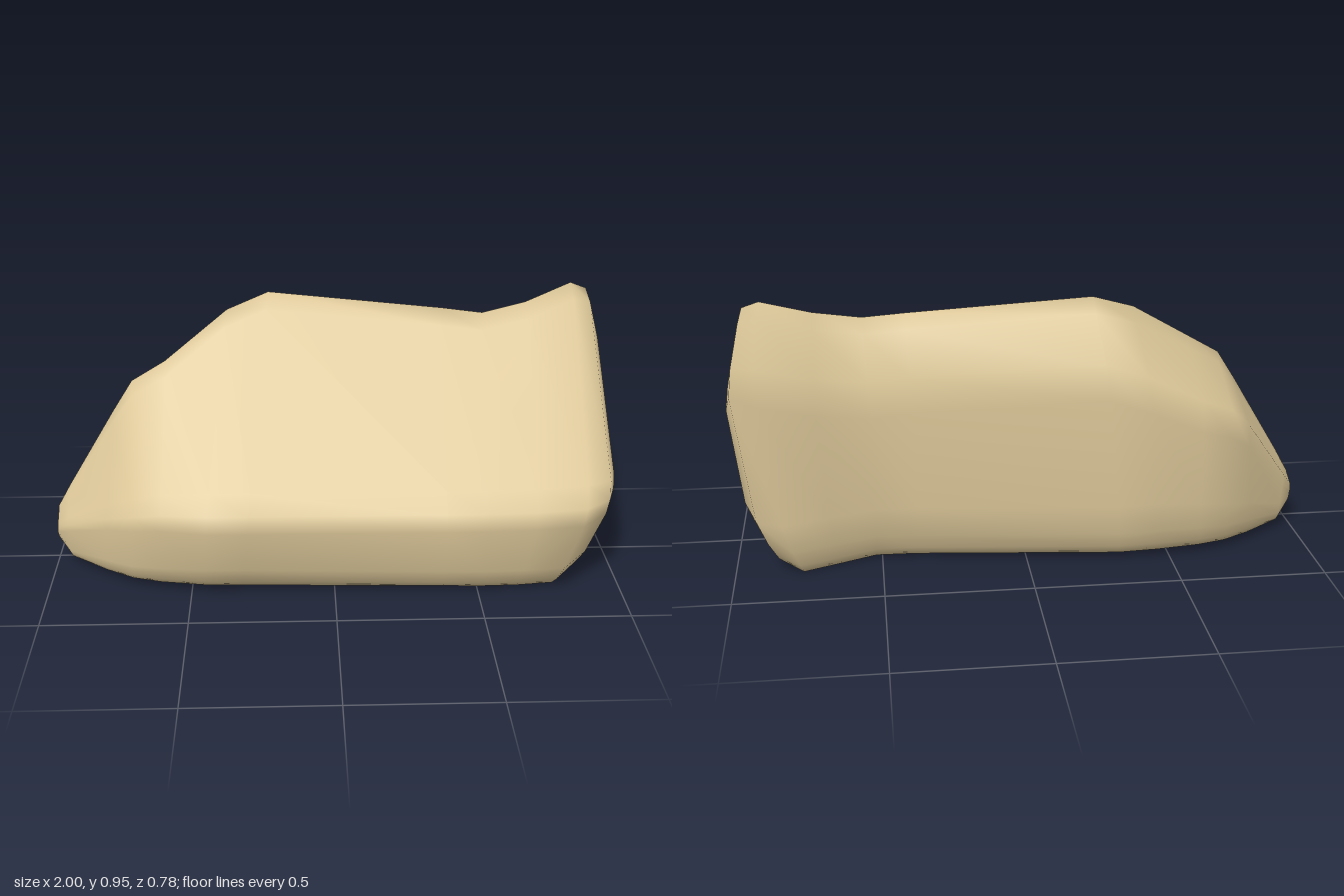
import * as THREE from 'three';

// Stations along the boulder, left end to right end:
// x at bottom / middle / top, bottom y, front z, front shoulder y,
// ridge y, ridge z, back z, drop from ridge to back shoulder, bevel scale
const STATIONS = [
  [-0.99, -1.0, -1.0, 0.09, 0.045, 0.12, 0.19, -0.03, -0.09, 0.03, 0.2],
  [-0.94, -0.955, -0.955, 0.032, 0.10, 0.15, 0.27, -0.03, -0.14, 0.05, 0.35],
  [-0.81, -0.78, -0.78, 0.03, 0.235, 0.22, 0.555, -0.04, -0.26, 0.1, 0.65],
  [-0.71, -0.70, -0.73, 0.028, 0.31, 0.25, 0.665, -0.05, -0.325, 0.13, 0.8],
  [-0.61, -0.59, -0.59, 0.027, 0.35, 0.27, 0.735, -0.06, -0.36, 0.15, 0.9],
  [-0.46, -0.42, -0.36, 0.025, 0.383, 0.27, 0.88, -0.19, -0.385, 0.2, 1],
  [-0.32, -0.28, -0.22, 0.022, 0.384, 0.27, 0.93, -0.235, -0.388, 0.2, 1],
  [0.38, 0.38, 0.40, 0.01, 0.39, 0.27, 0.88, -0.185, -0.29, 0.2, 1],
  [0.52, 0.52, 0.55, 0.007, 0.39, 0.27, 0.865, -0.17, -0.28, 0.2, 1],
  [0.64, 0.70, 0.70, 0.004, 0.382, 0.27, 0.895, -0.2, -0.325, 0.2, 1],
  [0.77, 0.88, 0.87, 0, 0.36, 0.27, 0.95, -0.25, -0.37, 0.2, 1],
  [0.83, 0.975, 0.92, 0.045, 0.28, 0.28, 0.93, -0.245, -0.335, 0.18, 0.8],
  [0.84, 0.998, 0.89, 0.13, 0.2, 0.3, 0.8, -0.18, -0.26, 0.14, 0.6],
];

// One closed cross-section: up the front, over the ridge, down the back
function section([xb, xm, xt, yb, zf, yf, yt, zt, zb, drop, s]) {
  const outline = [
    [yb, zf - 0.1 * s], [yb + 0.03 * s, zf - 0.07 * s], [yb + 0.09 * s, zf - 0.04 * s],
    [yf, zf], [yf + 0.06 * s, zf - 0.01 * s], [yf + 0.12 * s, zf - 0.07 * s],
    [yt - 0.05 * s, zt + 0.05 * s], [yt, zt], [yt - 0.25 * drop, zt - 0.04 * s],
    [yt - drop, zb + 0.015 * s], [yt - drop - 0.12 * s, zb], [yb + 0.2 * s, zb + 0.02 * s],
    [yb + 0.09 * s, zb + 0.04 * s], [yb + 0.03 * s, zb + 0.07 * s], [yb, zb + 0.085 * s],
  ];
  return outline.map(([y, z]) => {
    const t = Math.min(Math.max(y / 0.95, 0), 1);
    // Parabola through the bottom, middle and top x values
    const x = xb * (1 - t) * (1 - 2 * t) + xm * 4 * t * (1 - t) + xt * t * (2 * t - 1);
    return [x, y, z];
  });
}

// Skin the sections and close both ends
function loft(rings, startCentre, endCentre) {
  const n = rings[0].length;
  const last = (rings.length - 1) * n;
  const start = rings.length * n;
  const index = [];
  for (let i = 0; i < rings.length - 1; i++) {
    for (let j = 0; j < n; j++) {
      const k = (j + 1) % n;
      const a = i * n + j, b = i * n + k, c = a + n, d = b + n;
      index.push(a, c, b, b, c, d);
    }
  }
  for (let j = 0; j < n; j++) {
    const k = (j + 1) % n;
    index.push(start, j, k, start + 1, last + k, last + j);
  }
  const points = [...rings.flat(), startCentre, endCentre];
  const geometry = new THREE.BufferGeometry();
  geometry.setAttribute('position', new THREE.Float32BufferAttribute(points.flat(), 3));
  geometry.setIndex(index);
  geometry.computeVertexNormals();
  return geometry;
}

export function createModel() {
  const group = new THREE.Group();
  group.name = 'rock';
  const geometry = loft(STATIONS.map(section), [-1, 0.14, -0.02], [1, 0.47, -0.03]);
  const boulder = new THREE.Mesh(geometry, new THREE.MeshStandardMaterial({ color: 0xdec99a }));
  boulder.name = 'boulder';
  group.add(boulder);
  return group;
}
